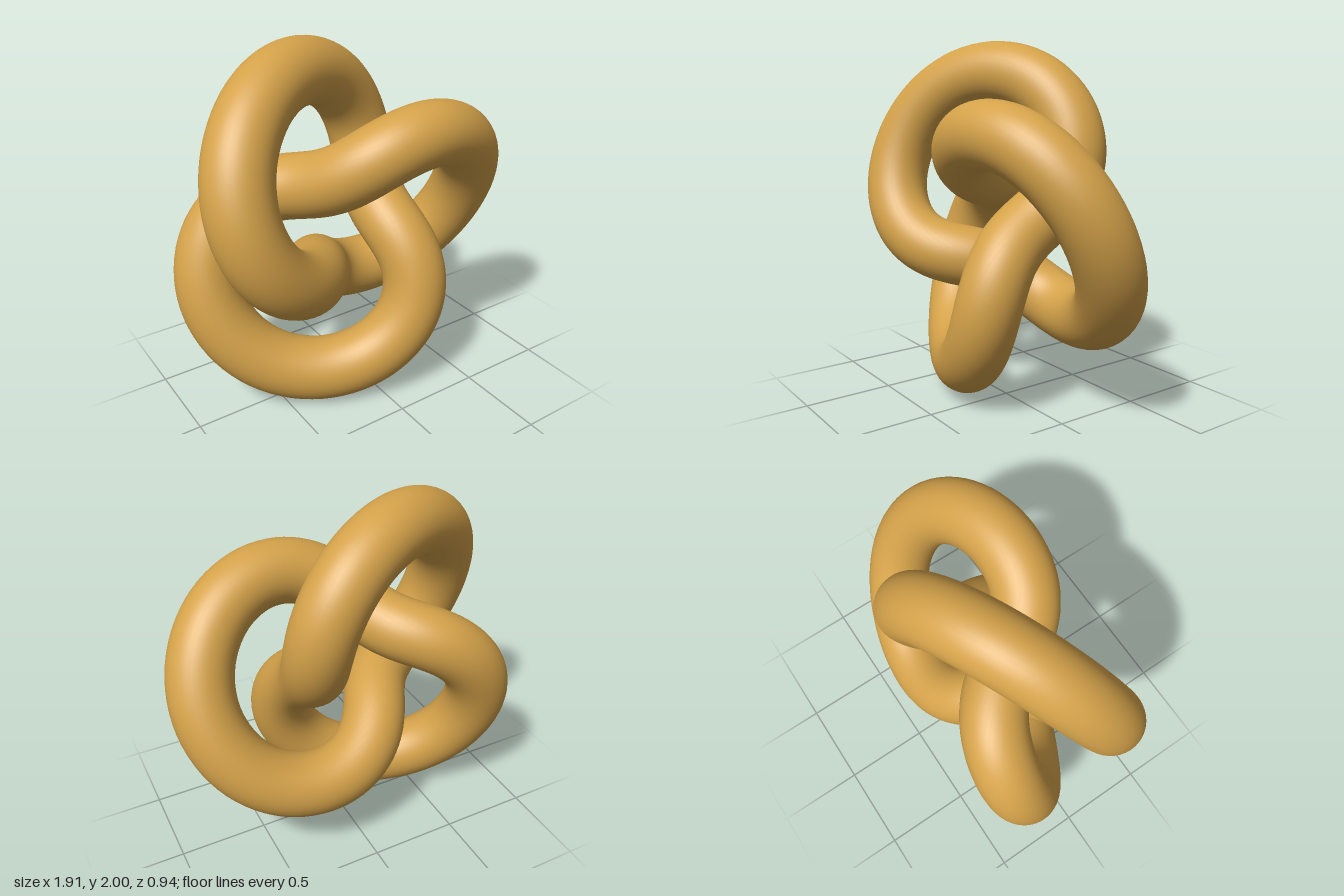
import * as THREE from 'three';

export function createModel() {
  const model = new THREE.Group();
  model.name = 'trefoilKnot';

  const ochre = new THREE.MeshStandardMaterial({ color: 0xd4a24a });
  ochre.name = 'ochre';

  // One closed tube: two turns about z, three lobes, one lobe pointing to +x
  const geometry = new THREE.TorusKnotGeometry(0.581, 0.178, 256, 40, 2, 3);
  const knot = new THREE.Mesh(geometry, ochre);
  knot.name = 'knotTube';
  knot.position.set(-0.093, 1, 0);
  model.add(knot);

  return model;
}
